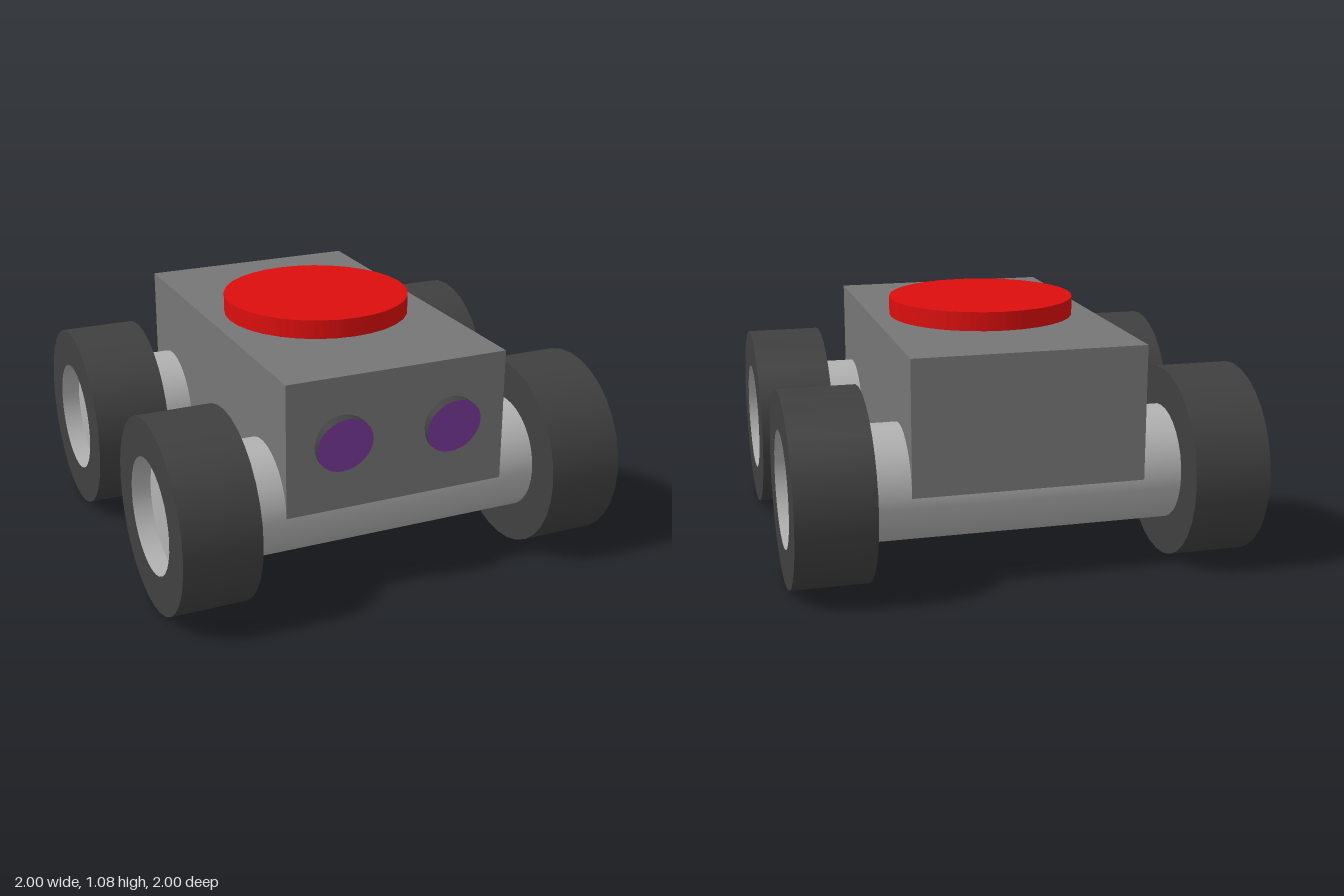
import * as THREE from 'three';

const material = (name, color, side = THREE.FrontSide) => {
  const m = new THREE.MeshStandardMaterial({ color, side });
  m.name = name;
  return m;
};

export function createModel() {
  const bodyGrey = material('body grey', 0x767676);
  const metal = material('light metal', 0xb2b2b2, THREE.DoubleSide);
  const rubber = material('dark rubber', 0x404040, THREE.DoubleSide);
  const red = material('red', 0xdc0e0e);
  const purple = material('purple', 0x78389a);

  const model = new THREE.Group();
  model.name = 'rover';
  const add = (name, geometry, mat, x = 0, y = 0, z = 0) => {
    const mesh = new THREE.Mesh(geometry, mat);
    mesh.name = name;
    mesh.position.set(x, y, z);
    model.add(mesh);
    return mesh;
  };

  const axleY = 0.417, axleZ = 0.583, axleR = 0.25, wheelR = 0.417, segments = 32;

  // Body: side profile with the lower corners cut away where the axles sit
  const profile = new THREE.Shape([
    [-0.833, 1], [-0.833, axleY], [-axleZ, axleY], [-axleZ, 0.167],
    [axleZ, 0.167], [axleZ, axleY], [0.833, axleY], [0.833, 1],
  ].map(([z, y]) => new THREE.Vector2(z, y)));
  const bodyGeometry = new THREE.ExtrudeGeometry(profile, { depth: 1, bevelEnabled: false });
  bodyGeometry.translate(0, 0, -0.5).rotateY(Math.PI / 2);
  add('body', bodyGeometry, bodyGrey);

  // Red disc on the roof
  add('roofDisc', new THREE.CylinderGeometry(wheelR, wheelR, 0.083, segments), red, 0, 1.0415, 0);

  // Axles run through the wheels; the open ends line the hub recesses
  const axleGeometry = new THREE.CylinderGeometry(axleR, axleR, 2, segments, 1, true).rotateZ(Math.PI / 2);
  const hubGeometry = new THREE.CircleGeometry(axleR, segments).rotateY(Math.PI / 2);

  // Tyre: outer tread and both side walls, each with its own normals
  const treadGeometry = new THREE.CylinderGeometry(wheelR, wheelR, 0.333, segments, 1, true).rotateZ(Math.PI / 2);
  const wallGeometry = new THREE.RingGeometry(axleR, wheelR, segments).rotateY(Math.PI / 2);

  for (const [end, z] of [['front', axleZ], ['rear', -axleZ]]) {
    add(end + 'Axle', axleGeometry, metal, 0, axleY, z);
    for (const [side, s] of [['Left', 1], ['Right', -1]]) {
      const facing = s > 0 ? 0 : Math.PI;
      add(end + side + 'Hub', hubGeometry, metal, s * 0.917, axleY, z).rotation.y = facing;
      add(end + side + 'TyreTread', treadGeometry, rubber, s * 0.8335, axleY, z);
      add(end + side + 'TyreOuterWall', wallGeometry, rubber, s, axleY, z).rotation.y = facing;
      add(end + side + 'TyreInnerWall', wallGeometry, rubber, s * 0.667, axleY, z).rotation.y = facing + Math.PI;
    }
  }

  // Eyes: short cylinders whose front leans out towards the top
  const eyeGeometry = new THREE.CylinderGeometry(0.125, 0.125, 0.05, segments).rotateX(Math.PI / 2);
  const p = eyeGeometry.attributes.position;
  for (let i = 0; i < p.count; i++) {
    p.setZ(i, p.getZ(i) > 0 ? 0.027 + p.getY(i) * 0.2 : -0.01);
  }
  for (const [side, s] of [['left', 1], ['right', -1]]) {
    add(side + 'Eye', eyeGeometry, [rubber, purple, rubber], s * 0.25, 0.71, 0.833);
  }
  return model;
}
